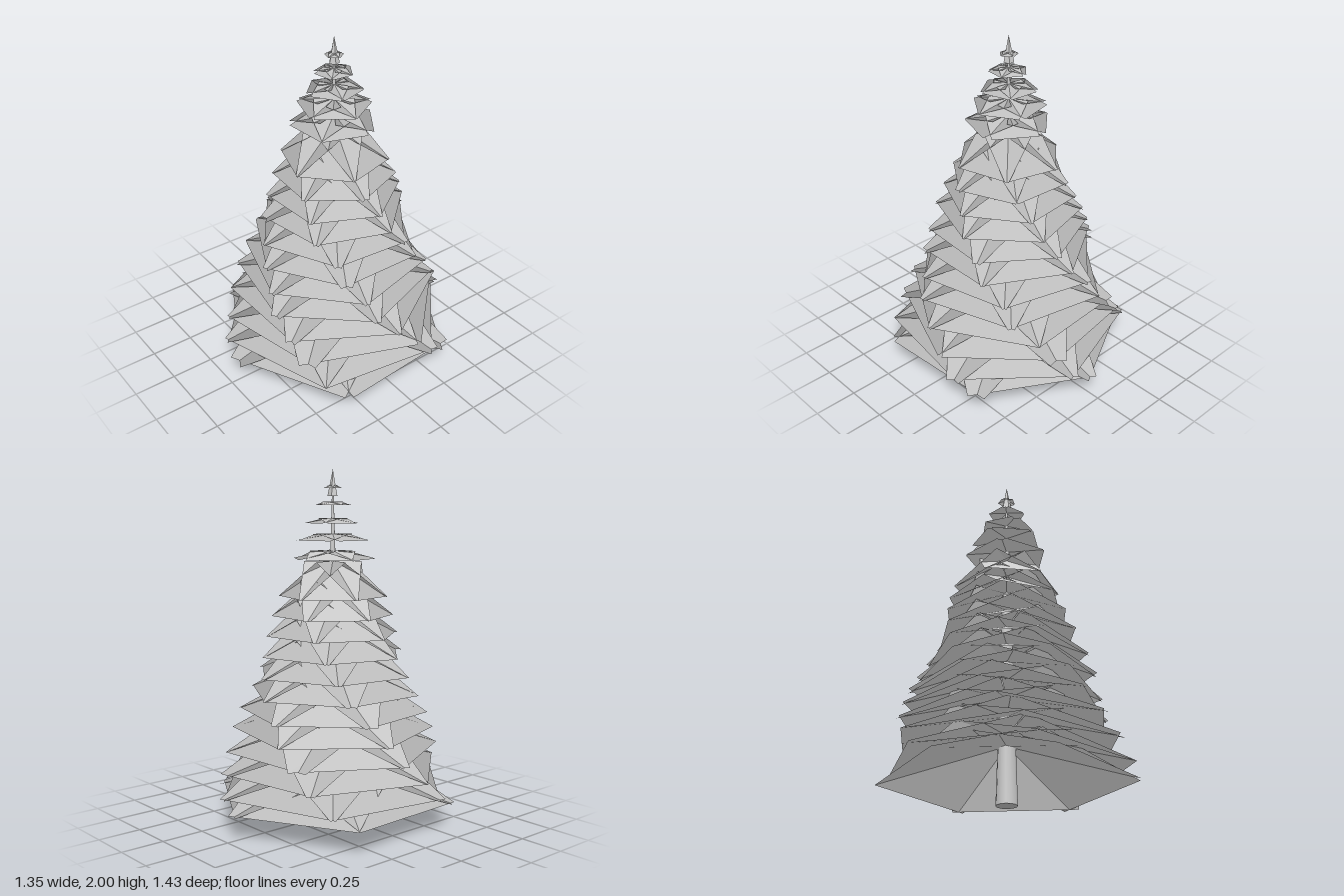
import * as THREE from 'three';
import { mergeGeometries } from 'three/addons/utils/BufferGeometryUtils.js';

// Small seeded generator, values in -1..1
let seed = 7;
const jitter = () => {
  seed = (seed * 16807) % 2147483647;
  return (seed / 2147483647) * 2 - 1;
};

// One rectangular bough: inner edge on the trunk axis, outer edge lower down.
// Its normals lean outward, as is usual for foliage cards.
function bough(angle, reach, halfWidth, y, rise) {
  const g = new THREE.PlaneGeometry(halfWidth * 2, Math.hypot(reach, rise));
  const p = g.attributes.position;
  const n = g.attributes.normal;
  for (let i = 0; i < p.count; i++) {
    const outer = p.getY(i) < 0;
    p.setXYZ(i, outer ? reach : 0, outer ? y : y + rise, -p.getX(i));
    n.setXYZ(i, 0.96, 0.28, 0);
  }
  return g.rotateY(-angle);
}

// A ring of overlapping boughs
function tier(count, turn, reach, y, rise, wobble) {
  const parts = [];
  for (let k = 0; k < count; k++) {
    const angle = THREE.MathUtils.degToRad(turn + (k * 360) / count + wobble * jitter());
    parts.push(bough(angle, reach, reach * 0.62, y, rise));
  }
  return mergeGeometries(parts);
}

export function createModel() {
  const tree = new THREE.Group();
  tree.name = 'tree';
  const grey = new THREE.MeshStandardMaterial({ color: 0xcccccc, side: THREE.DoubleSide });
  grey.name = 'lightGrey';

  const add = (name, geometry) => {
    const mesh = new THREE.Mesh(geometry, grey);
    mesh.name = name;
    tree.add(mesh);
  };

  // Tapering trunk running to the tip
  add('trunk', new THREE.CylinderGeometry(0.002, 0.06, 1.97, 12).translate(0, 0.985, 0));

  // Lowest skirt, then the steep tiers, each turned a little further
  add('bottomTier', tier(6, 0, 0.607, 0.13, 0.2, 4));
  for (let i = 0; i < 11; i++) {
    add('lowerTier' + (i + 1), tier(6, 10 + 9.5 * i, 0.598 - 0.0335 * i, 0.192 + 0.1095 * i, 0.2, 4));
  }

  // Sparse flat tiers near the top: [height, reach, rise]
  [
    [1.5, 0.208, 0.045],
    [1.605, 0.178, 0.035],
    [1.7, 0.136, 0.027],
    [1.8, 0.093, 0.02],
    [1.895, 0.045, 0.015],
  ].forEach(([y, reach, rise], i) => {
    add('upperTier' + (i + 1), tier(5, 14 + 23 * i, reach, y, rise, 6));
  });

  // Pointed tip
  const tip = new THREE.ConeGeometry(0.03, 0.15, 5, 1, true).toNonIndexed().translate(0, 1.925, 0);
  tip.computeVertexNormals();
  add('tip', tip);

  return tree;
}
